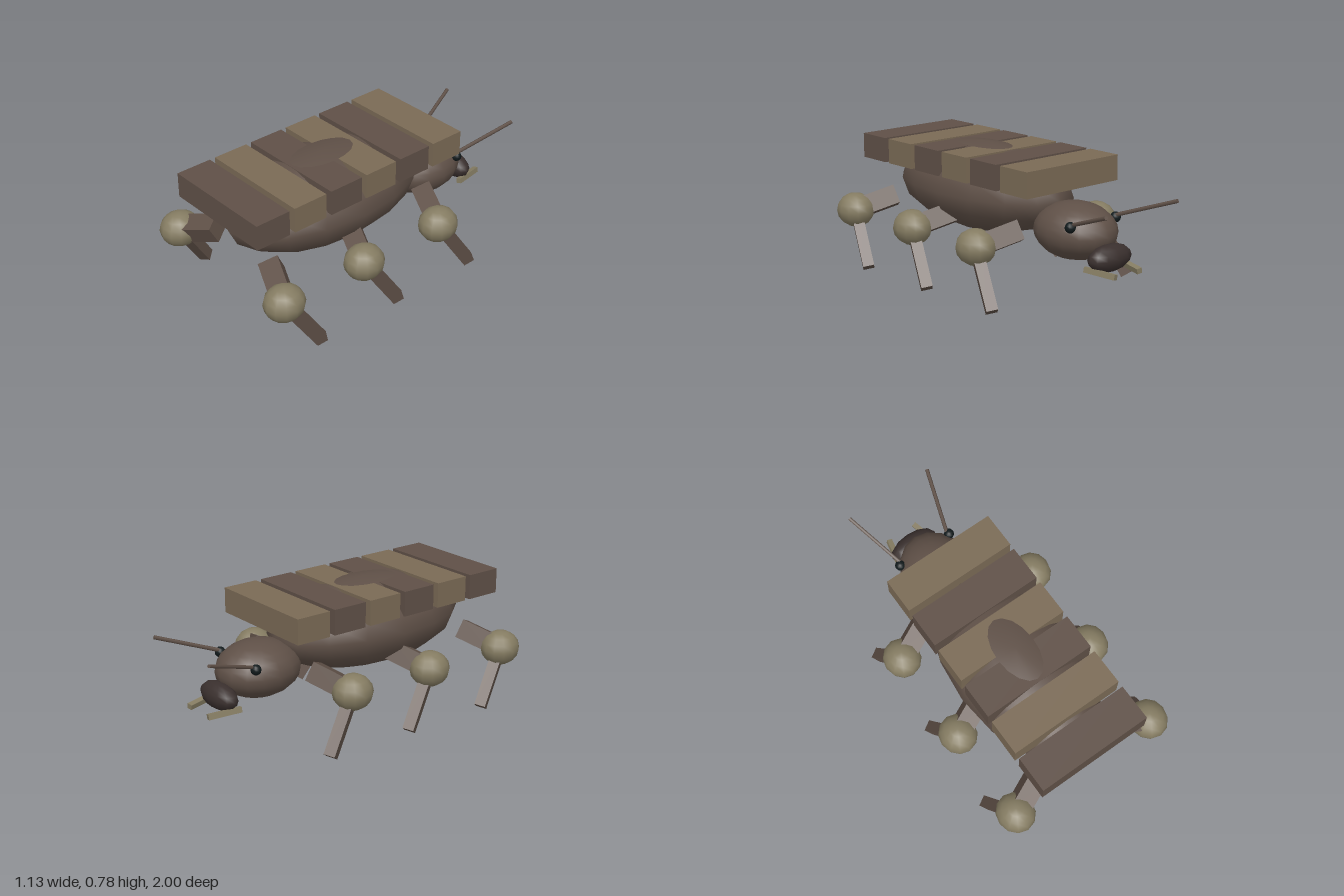
import * as THREE from 'three';

const material = (color) => new THREE.MeshStandardMaterial({ color });

export function createModel() {
  const model = new THREE.Group();
  const brown = material(0x5f5047);
  const tan = material(0x7a6a55);
  const dark = material(0x3a302e);
  const olive = material(0x857c62);
  const black = material(0x111a1c);

  const add = (name, geometry, mat, x, y, z) => {
    const mesh = new THREE.Mesh(geometry, mat);
    mesh.name = name;
    mesh.position.set(x, y, z);
    model.add(mesh);
    return mesh;
  };

  const ellipsoid = (name, mat, pos, radii, w = 16, h = 8) =>
    add(name, new THREE.SphereGeometry(1, w, h).scale(...radii), mat, ...pos);

  // Straight piece between two points: square bar, or round rod
  const strut = (name, mat, from, to, size, round = false) => {
    const a = new THREE.Vector3(...from);
    const b = new THREE.Vector3(...to);
    const length = a.distanceTo(b);
    const geometry = round
      ? new THREE.CylinderGeometry(size / 2, size / 2, length, 6)
      : new THREE.BoxGeometry(size, length, size);
    const mid = a.clone().add(b).multiplyScalar(0.5);
    const mesh = add(name, geometry, mat, mid.x, mid.y, mid.z);
    mesh.quaternion.setFromUnitVectors(new THREE.Vector3(0, 1, 0), b.sub(a).normalize());
  };

  // Body, head and mouth; the head points to -z
  ellipsoid('body', brown, [0, 0.523, 0.235], [0.355, 0.253, 0.64]);
  ellipsoid('head', brown, [0, 0.398, -0.51], [0.21, 0.158, 0.25], 16, 12);
  ellipsoid('mouth', dark, [0, 0.297, -0.767], [0.15, 0.075, 0.073], 12, 8);

  // Row of back plates in alternating colours
  for (let i = 0; i < 6; i++) {
    add('backPlate', new THREE.BoxGeometry(0.676, 0.144, 0.211),
      i % 2 ? brown : tan, 0, 0.688, -0.384 + i * 0.2448);
  }

  for (const s of [1, -1]) {
    // Eyes, antennae and mandibles
    ellipsoid('eye', black, [s * 0.17, 0.465, -0.642], [0.03, 0.03, 0.03], 10, 8);
    strut('antenna', brown, [s * 0.155, 0.472, -0.63], [s * 0.267, 0.602, -0.995], 0.022, true);
    strut('mandible', olive, [s * 0.13, 0.246, -0.715], [s * 0.09, 0.235, -0.9], 0.03);

    // Three legs on each side, bent at a round knee
    for (const z of [-0.217, 0.333, 0.88]) {
      const knee = [s * 0.457, 0.325, z];
      strut('upperLeg', brown, [s * 0.233, 0.395, z - 0.095], knee, 0.112);
      strut('lowerLeg', brown, knee, [s * 0.515, 0.022, z - 0.197], 0.064);
      ellipsoid('knee', olive, knee, [0.108, 0.101, 0.117], 12, 8);
    }
  }
  return model;
}
